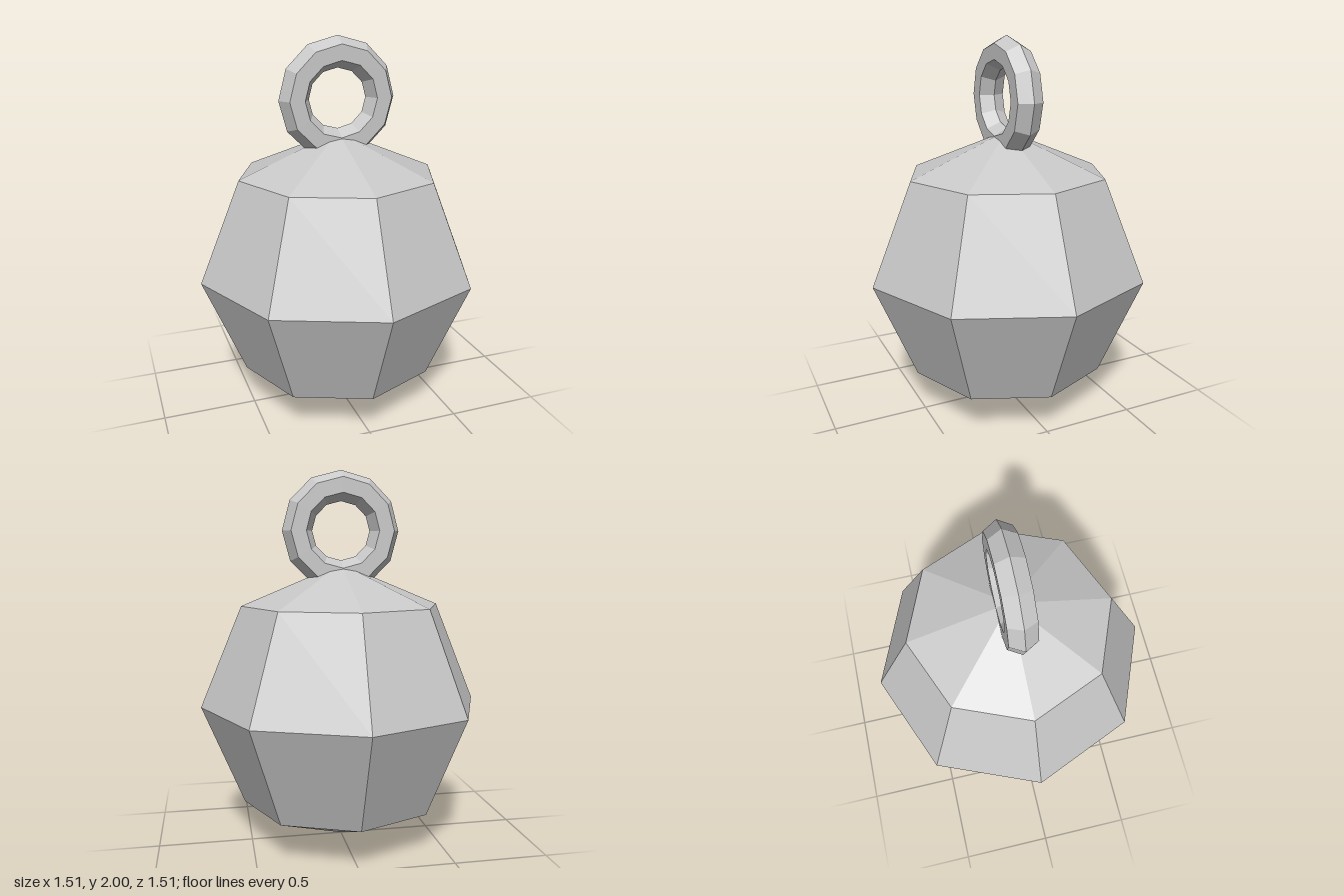
import * as THREE from 'three';

// Splits a geometry into separate faces so each one is shaded flat
function faceted(geometry) {
  const flat = geometry.toNonIndexed();
  flat.computeVertexNormals();
  return flat;
}

export function createModel() {
  const group = new THREE.Group();
  group.name = 'weightWithRing';

  const greyMetal = new THREE.MeshStandardMaterial({ color: 0xc8c8c8 });
  greyMetal.name = 'grey metal';

  const ballRadius = 0.757;

  // Eight-sided ball, resting on its lower point
  const ball = new THREE.Mesh(faceted(new THREE.SphereGeometry(ballRadius, 8, 4)), greyMetal);
  ball.name = 'ball';
  ball.position.y = ballRadius;
  group.add(ball);

  // Upright ring with a hexagonal section, sunk into the top of the ball
  const ring = new THREE.Mesh(faceted(new THREE.TorusGeometry(0.235, 0.08, 6, 12)), greyMetal);
  ring.name = 'ring';
  ring.position.y = 1.685;
  group.add(ring);

  return group;
}
